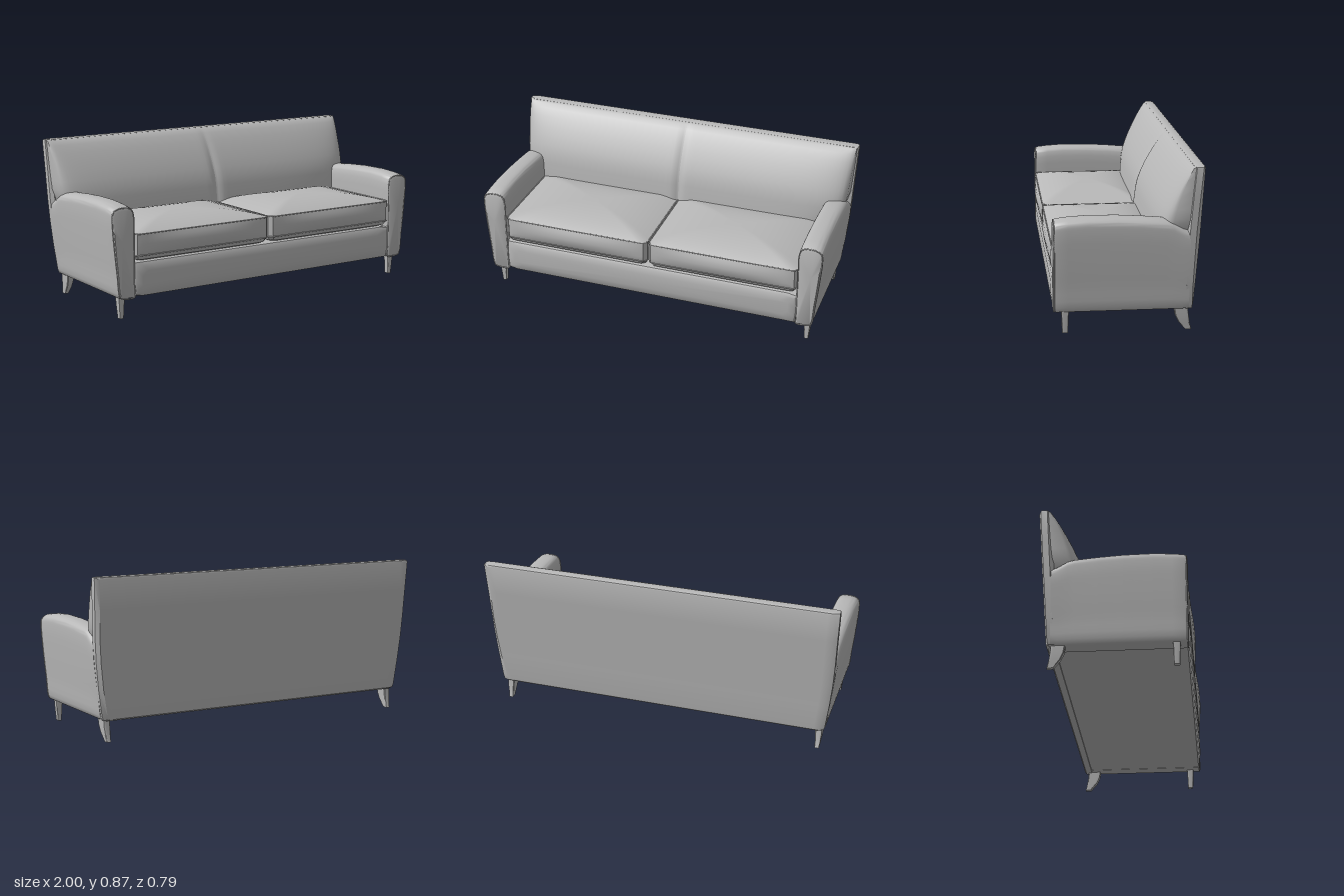
import * as THREE from 'three';
import { toCreasedNormals } from 'three/addons/utils/BufferGeometryUtils.js';

const V = (x, y, z) => new THREE.Vector3(x, y, z);
const lerp = THREE.MathUtils.lerp;

// Skin a list of equal-length rings, cap both ends, and face it outward
function loft(rings, crease = 0.6) {
  const n = rings[0].length, pos = [], idx = [];
  rings.forEach(r => r.forEach(p => pos.push(p.x, p.y, p.z)));
  for (let i = 0; i < rings.length - 1; i++) {
    for (let j = 0; j < n; j++) {
      const k = (j + 1) % n, a = i * n, b = a + n;
      idx.push(a + j, a + k, b + k, a + j, b + k, b + j);
    }
  }
  [0, rings.length - 1].forEach((i, end) => {
    const c = V(0, 0, 0);
    rings[i].forEach(p => c.addScaledVector(p, 1 / n));
    const ci = pos.length / 3;
    pos.push(c.x, c.y, c.z);
    for (let j = 0; j < n; j++) {
      const a = i * n + j, b = i * n + (j + 1) % n;
      if (end) idx.push(ci, a, b); else idx.push(ci, b, a);
    }
  });
  // signed volume decides the winding
  const at = i => V(pos[3 * i], pos[3 * i + 1], pos[3 * i + 2]);
  let vol = 0;
  for (let t = 0; t < idx.length; t += 3) vol += at(idx[t]).dot(at(idx[t + 1]).cross(at(idx[t + 2])));
  if (vol < 0) idx.reverse();
  const g = new THREE.BufferGeometry();
  g.setAttribute('position', new THREE.Float32BufferAttribute(pos, 3));
  g.setIndex(idx);
  return toCreasedNormals(g, crease);
}

// Points round a rounded rectangle centred on (cx, cy)
function roundRect(cx, cy, hw, hh, r, n = 64) {
  const s = new THREE.Shape(), q = Math.PI / 2;
  s.absarc(cx + hw - r, cy + hh - r, r, 0, q);
  s.absarc(cx - hw + r, cy + hh - r, r, q, 2 * q);
  s.absarc(cx - hw + r, cy - hh + r, r, 2 * q, 3 * q);
  s.absarc(cx + hw - r, cy - hh + r, r, 3 * q, 4 * q);
  s.closePath();
  return s.getSpacedPoints(n).slice(0, n);
}

// Thin cord along a closed ring
const piping = ring =>
  new THREE.TubeGeometry(new THREE.CatmullRomCurve3(ring, true), 120, 0.0035, 6, true);

// Arm section: leaning outer side, domed top, upright inner side
function armRing(s, z, top, inset = 0) {
  const h = top - 0.115;
  const pts = [
    [0.925, 0.115], [0.943, 0.122], [0.96, 0.115 + h * 0.28], [0.977, 0.115 + h * 0.62],
    [0.985, 0.115 + h * 0.87], [0.981, top - 0.024], [0.96, top - 0.006], [0.92, top],
    [0.878, top - 0.006], [0.859, top - 0.028], [0.855, 0.115 + h * 0.6], [0.855, 0.115],
  ].map(([x, y]) => V(s * lerp(x, 0.92, inset * 12), lerp(y, 0.36, inset * 3), z));
  return new THREE.CatmullRomCurve3(pts).getPoints(44);
}

// Half of the back cushion: rounded outer corner, pinched at the centre seam
function backCushion(s) {
  const rows = [[0.4, -0.13, 0.88], [0.47, -0.14, 0.92], [0.55, -0.15, 0.965], [0.6, -0.161, 0.978],
    [0.65, -0.18, 0.981], [0.7, -0.204, 0.984], [0.75, -0.232, 0.987], [0.8, -0.264, 0.99],
    [0.84, -0.295, 0.992], [0.862, -0.318, 0.993], [0.871, -0.338, 0.994]];
  return loft(rows.map(([y, front, w]) => {
    const back = -0.315 - 0.08 * (y - 0.54), ring = [], n = 28;
    for (let i = 0; i <= n; i++) {
      const x = w * (1 - Math.cos(Math.PI * i / n)) / 2;
      const round = Math.pow(Math.max(0, 1 - Math.pow(x / w, 6)), 1 / 6);
      const pinch = 1 - 0.08 * Math.exp(-Math.pow(x / 0.02, 2));
      ring.push(V(s * x, y, back + (front - back) * round * pinch));
    }
    ring.push(V(0, y, back));
    return ring;
  }), 0.7);
}

// Seat cushion: boxed border with a bulging front and a crowned top
function seatRing(s, y, scale, inset = 0, bulge = 0) {
  const cx = 0.428, cz = 0.09, hw = 0.424 - inset, hd = 0.288 - inset;
  return roundRect(0, 0, hw, hd, 0.028, 96).map(p => {
    const b = p.y > 0 ? bulge * Math.max(0, 1 - Math.pow(p.x / hw, 2)) * p.y / hd : 0;
    return V(s * (cx + p.x * scale), y, cz + p.y * scale + b);
  });
}
function seatCushion(s) {
  const rings = [seatRing(s, 0.304, 1, 0.03), seatRing(s, 0.312, 1, 0.012), seatRing(s, 0.335, 1),
    seatRing(s, 0.365, 1, 0, 0.014), seatRing(s, 0.395, 1, 0, 0.018),
    seatRing(s, 0.425, 1, 0, 0.012), seatRing(s, 0.45, 1)];
  for (const t of [0.97, 0.92, 0.85, 0.75, 0.62, 0.48, 0.32, 0.15, 0.03]) {
    rings.push(seatRing(s, 0.45 + 0.056 * (1 - Math.pow(t, 2.5)), t));
  }
  return loft(rings, 0.5);
}

export function createModel() {
  const group = new THREE.Group();
  const fabric = new THREE.MeshStandardMaterial({ color: 0xb8b8b8 });
  fabric.name = 'grey';
  const add = (name, geometry) => {
    const m = new THREE.Mesh(geometry, fabric);
    m.name = name;
    group.add(m);
  };

  // base with a softly padded front rail
  add('base', loft([[-0.32, 0], [0.355, 0], [0.368, 0.004], [0.376, 0.018], [0.382, 0.05]].map(([z, i]) =>
    roundRect(0, 0.209, 0.86 - i, 0.094 - i, 0.01).map(p => V(p.x, p.y, z)))));

  // back panel, leaning back and widening upward: y, half width, front z, rear z
  const panel = [[0.112, 0.93, -0.3, -0.335], [0.12, 0.942, -0.295, -0.343], [0.14, 0.948, -0.295, -0.346],
    [0.28, 0.966, -0.295, -0.354], [0.42, 0.98, -0.3, -0.362], [0.54, 0.987, -0.306, -0.37],
    [0.7, 0.993, -0.319, -0.38], [0.862, 1, -0.333, -0.39], [0.87, 0.998, -0.335, -0.387],
    [0.873, 0.992, -0.341, -0.38]];
  add('backPanel', loft(panel.map(([y, w, f, b]) =>
    roundRect(0, (f + b) / 2, w, (f - b) / 2, 0.01, 120).map(p => V(p.x, y, p.y)))));

  // arm stations: z, top height, inset
  const arm = [[0.377, 0.59, 0.014], [0.372, 0.598, 0.004], [0.36, 0.602, 0], [0.3, 0.609, 0],
    [0.2, 0.615, 0], [0.05, 0.613, 0], [-0.08, 0.605, 0], [-0.2, 0.594, 0], [-0.235, 0.585, 0],
    [-0.285, 0.555, 0], [-0.32, 0.54, 0]];

  // legs: y, front z, rear z, inner x, outer x
  const frontLeg = [[0, 0.33, 0.3, 0.9, 0.922], [0.06, 0.332, 0.298, 0.897, 0.928], [0.125, 0.334, 0.295, 0.893, 0.932]];
  const rearLeg = [[0, -0.305, -0.339, 0.898, 0.922], [0.02, -0.288, -0.333, 0.897, 0.924],
    [0.045, -0.268, -0.328, 0.896, 0.927], [0.08, -0.252, -0.323, 0.894, 0.93], [0.125, -0.245, -0.318, 0.892, 0.932]];
  const leg = (s, rows) => loft(rows.map(([y, f, b, x0, x1]) =>
    roundRect((x0 + x1) / 2, (f + b) / 2, (x1 - x0) / 2, (f - b) / 2, 0.004, 32).map(p => V(s * p.x, y, p.y))));

  for (const [s, side] of [[1, 'left'], [-1, 'right']]) {
    add(side + 'Arm', loft(arm.map(a => armRing(s, ...a))));
    add(side + 'ArmPiping', piping(armRing(s, 0.371, 0.598, 0.003)));
    add(side + 'SeatCushion', seatCushion(s));
    add(side + 'SeatPipingTop', piping(seatRing(s, 0.45, 1)));
    add(side + 'SeatPipingBottom', piping(seatRing(s, 0.335, 1)));
    add(side + 'BackCushion', backCushion(s));
    add(side + 'FrontLeg', leg(s, frontLeg));
    add(side + 'RearLeg', leg(s, rearLeg));
  }
  return group;
}
